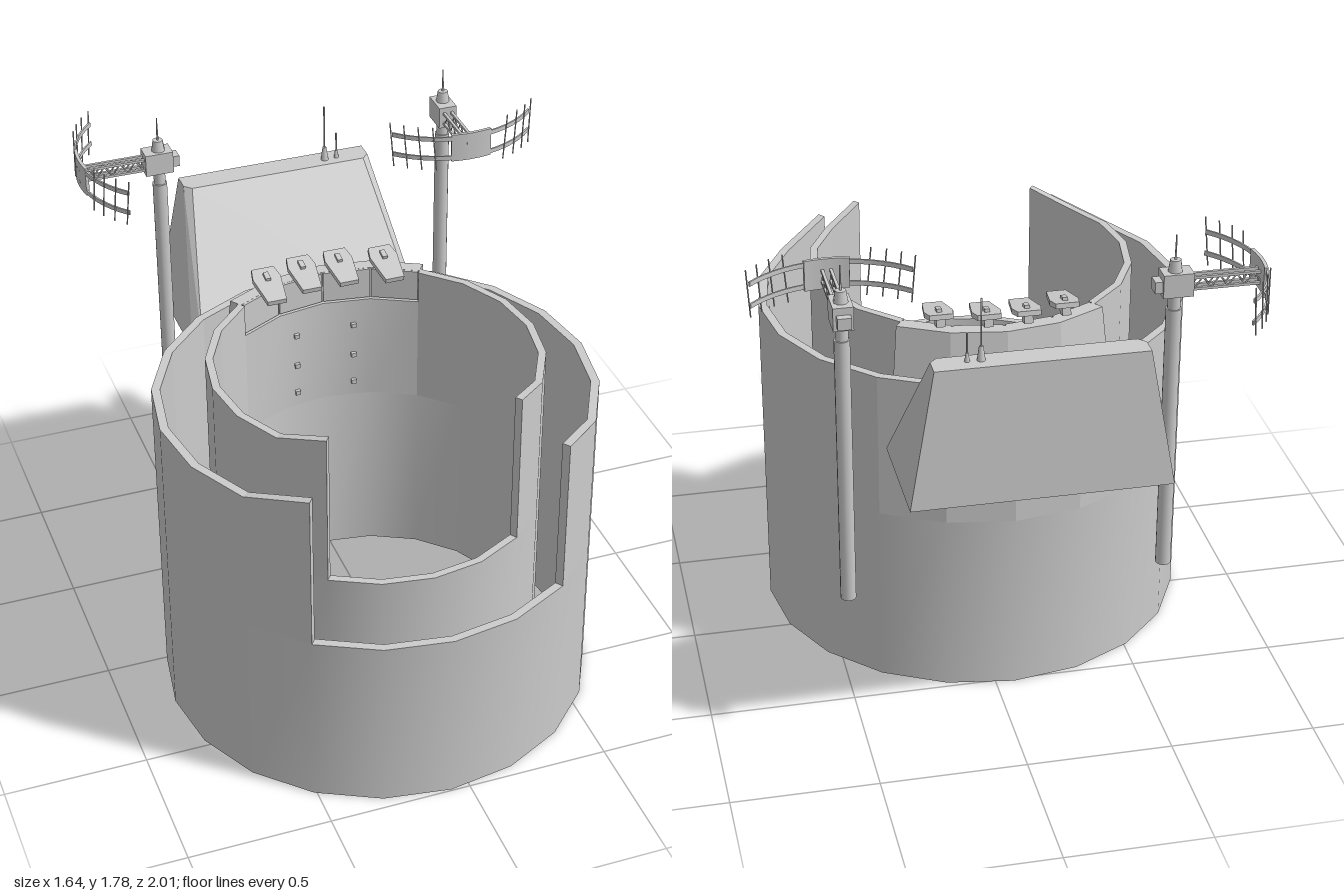
import * as THREE from 'three';
import { toCreasedNormals, mergeGeometries } from 'three/addons/utils/BufferGeometryUtils.js';

const CX = -0.065, CZ = 0.24, STEP = 18;
const grey = new THREE.MeshStandardMaterial({ color: 0xcccccc });
const V = (x, y, z) => new THREE.Vector3(x, y, z);

// Point on a circle about the shared axis; angle 0 is the front
const polar = (r, y, deg) => {
  const a = THREE.MathUtils.degToRad(deg);
  return V(CX + r * Math.sin(a), y, CZ + r * Math.cos(a));
};

function add(parent, name, geo, x = 0, y = 0, z = 0) {
  const mesh = new THREE.Mesh(geo, grey);
  mesh.name = name;
  mesh.position.set(x, y, z);
  parent.add(mesh);
  return mesh;
}

// Solid skin through convex cross-sections, capped at both ends unless closed
function loft(sections, closed = false, crease = 0.1) {
  const pos = [], n = sections[0].length, count = sections.length;
  const tri = (...p) => p.forEach(v => pos.push(v.x, v.y, v.z));
  for (let i = 0; i < count - (closed ? 0 : 1); i++) {
    const s = sections[i], t = sections[(i + 1) % count];
    for (let j = 0; j < n; j++) {
      const k = (j + 1) % n;
      tri(s[j], t[j], t[k]);
      tri(s[j], t[k], s[k]);
    }
  }
  if (!closed) {
    const s = sections[0], t = sections[count - 1];
    for (let j = 1; j < n - 1; j++) {
      tri(s[0], s[j], s[j + 1]);
      tri(t[0], t[j + 1], t[j]);
    }
  }
  const geo = new THREE.BufferGeometry();
  geo.setAttribute('position', new THREE.Float32BufferAttribute(pos, 3));
  return toCreasedNormals(geo, crease);
}

// Curved wall between two angles; top(deg) gives its height
function wall(ri, ro, y0, top, from, to, smooth) {
  const sections = [], closed = to - from === 360;
  for (let a = from; closed ? a < to : a <= to; a += STEP) {
    sections.push([polar(ri, y0, a), polar(ro, y0, a), polar(ro, top(a), a), polar(ri, top(a), a)]);
  }
  return loft(sections, closed, smooth ? 0.5 : 0.1);
}

// Thin straight rod between two points
function rod(a, b, r, sides = 6) {
  const dir = b.clone().sub(a);
  const geo = new THREE.CylinderGeometry(r, r, dir.length(), sides);
  geo.applyQuaternion(new THREE.Quaternion().setFromUnitVectors(V(0, 1, 0), dir.clone().normalize()));
  return geo.translate((a.x + b.x) / 2, (a.y + b.y) / 2, (a.z + b.z) / 2);
}

// Mast with a boom reaching along +z to a curved aerial array
function makeMast() {
  const mast = new THREE.Group();
  add(mast, 'pole', new THREE.CylinderGeometry(0.026, 0.026, 0.95, 14), 0, 1.05, 0);
  add(mast, 'poleNeck', new THREE.CylinderGeometry(0.021, 0.021, 0.06, 14), 0, 1.55, 0);
  add(mast, 'head', new THREE.BoxGeometry(0.066, 0.08, 0.1), 0, 1.615, 0.005);
  add(mast, 'headMotor', new THREE.BoxGeometry(0.045, 0.04, 0.03), 0, 1.61, -0.055);
  add(mast, 'headCap', new THREE.CylinderGeometry(0.018, 0.024, 0.04, 10), 0, 1.675, 0);
  add(mast, 'headWhip', new THREE.CylinderGeometry(0.002, 0.004, 0.09, 6), 0, 1.735, 0);

  // Lattice boom
  const lattice = [];
  for (const x of [-0.014, 0.014]) {
    for (const y of [1.593, 1.632]) {
      const bar = new THREE.BoxGeometry(0.01, 0.009, 0.25);
      lattice.push(bar.translate(x, y, 0.165));
    }
    for (let i = 0; i < 8; i++) {
      const z = 0.06 + i * 0.028, up = i % 2;
      lattice.push(rod(V(x, up ? 1.632 : 1.593, z), V(x, up ? 1.593 : 1.632, z + 0.028), 0.003, 4));
    }
  }
  add(mast, 'boom', mergeGeometries(lattice));

  // Curved rails, centre plate and dipoles share one arc
  const R = 0.368, Z0 = 0.29 - R;
  const onArc = (deg, y, r = R) => {
    const a = THREE.MathUtils.degToRad(deg);
    return V(r * Math.sin(a), y, Z0 + r * Math.cos(a));
  };
  const strip = (half, y0, y1, t) => {
    const sections = [];
    for (let i = 0; i <= 16; i++) {
      const a = half * (i / 8 - 1);
      sections.push([onArc(a, y0, R - t), onArc(a, y0), onArc(a, y1), onArc(a, y1, R - t)]);
    }
    return loft(sections, false, 0.5);
  };
  add(mast, 'lowerRail', strip(45.5, 1.572, 1.588, 0.006));
  add(mast, 'upperRail', strip(45.5, 1.648, 1.664, 0.006));
  add(mast, 'centrePlate', strip(11.8, 1.567, 1.672, 0.012));
  const dipoles = [];
  for (const s of [-1, 1]) {
    for (const a of [21, 29, 37, 45]) {
      dipoles.push(rod(onArc(s * (a - 1), 1.535, R + 0.004), onArc(s * (a + 1.5), 1.705, R + 0.004), 0.0025, 5));
    }
  }
  add(mast, 'dipoles', mergeGeometries(dipoles));
  return mast;
}

export function createModel() {
  const model = new THREE.Group();
  model.name = 'observationTower';

  // Outer shell: full base ring, then a wall open at the front
  const outerTop = a => (a === 36 || a === 324 ? 1.23 : 1.18);
  add(model, 'outerBase', wall(0.725, 0.755, 0, () => 0.655, 0, 360, true));
  add(model, 'outerWall', wall(0.725, 0.755, 0.655, outerTop, 36, 324, false));

  // Inner shell, lower at the back where the console sits
  const innerTop = a => (a === 36 || a === 324 ? 1.34 : 1.3);
  add(model, 'innerBase', wall(0.543, 0.57, 0.12, () => 0.78, 0, 360, true));
  add(model, 'innerRightWall', wall(0.543, 0.57, 0.78, innerTop, 216, 324, false));
  add(model, 'innerLeftWall', wall(0.543, 0.57, 0.78, innerTop, 36, 144, false));
  add(model, 'innerBackWall', wall(0.543, 0.57, 0.78, () => 1.18, 144, 216, true));

  // Console behind the back wall, tapering towards its top
  const consoleSections = [];
  for (let a = 144; a <= 216; a += STEP) {
    consoleSections.push([polar(0.571, 0.95, a), polar(0.655, 0.95, a), polar(0.605, 1.3, a), polar(0.558, 1.3, a), polar(0.558, 1.181, a)]);
  }
  add(model, 'console', loft(consoleSections));
  for (const a of [153, 171, 189, 207]) {
    const p = polar(0.548, 1.242, a);
    add(model, 'consolePanel', new THREE.BoxGeometry(0.165, 0.115, 0.012), p.x, p.y, p.z)
      .rotation.y = THREE.MathUtils.degToRad(a);
  }

  // Small knobs on the back wall
  for (const a of [168.5, 191.5]) {
    for (const y of [0.84, 0.955, 1.08]) {
      const p = polar(0.533, y, a);
      add(model, 'wallKnob', new THREE.BoxGeometry(0.018, 0.016, 0.018), p.x, p.y, p.z);
    }
  }

  // Four tilted hooded displays along the console
  const outline = [[-0.034, 0.085], [0.034, 0.085], [0.05, -0.035], [0.04, -0.085], [-0.04, -0.085], [-0.05, -0.035]];
  const hood = new THREE.ExtrudeGeometry(
    new THREE.Shape(outline.map(([x, z]) => new THREE.Vector2(x, -z))), { depth: 0.018, bevelEnabled: false });
  hood.rotateX(-Math.PI / 2);
  [[-0.28, -0.24], [-0.142, -0.272], [-0.006, -0.272], [0.15, -0.24]].forEach(([x, z]) => {
    const display = new THREE.Group();
    display.name = 'display';
    add(display, 'displayHood', hood);
    add(display, 'displayKnob', new THREE.BoxGeometry(0.018, 0.014, 0.035), 0, 0.022, -0.035);
    add(display, 'displayBracket', new THREE.BoxGeometry(0.03, 0.035, 0.04), 0, -0.012, -0.05);
    display.position.set(x, 1.328, z);
    display.rotation.x = 0.2;
    model.add(display);
  });

  // Wedge housing at the back
  const housingBottom = [[-0.5, -0.9], [0.37, -0.9], [0.37, -0.48], [0.345, -0.43], [-0.475, -0.43], [-0.5, -0.48]];
  const housingTop = [[-0.415, -0.875], [0.285, -0.875], [0.285, -0.81], [0.26, -0.785], [-0.39, -0.785], [-0.415, -0.81]];
  add(model, 'housing', loft([
    housingBottom.map(([x, z]) => V(x, 0.97, z)),
    housingTop.map(([x, z]) => V(x, 1.45, z)),
  ]));
  for (const [x, r, base, tip] of [[0.125, 0.014, 0.05, 1.665], [0.17, 0.009, 0.03, 1.55]]) {
    add(model, 'aerialBase', new THREE.CylinderGeometry(r * 0.5, r, base, 10), x, 1.45 + base / 2, -0.825);
    add(model, 'aerialWhip', rod(V(x, 1.45, -0.825), V(x, tip, -0.825), 0.003));
  }

  // Two masts, one aiming forward and one aiming to the right
  const leftMast = makeMast();
  leftMast.name = 'leftMast';
  leftMast.position.set(0.55, 0, -0.74);
  const rightMast = makeMast();
  rightMast.name = 'rightMast';
  rightMast.position.set(-0.52, 0, -0.74);
  rightMast.rotation.y = -Math.PI / 2;
  model.add(leftMast, rightMast);

  return model;
}
